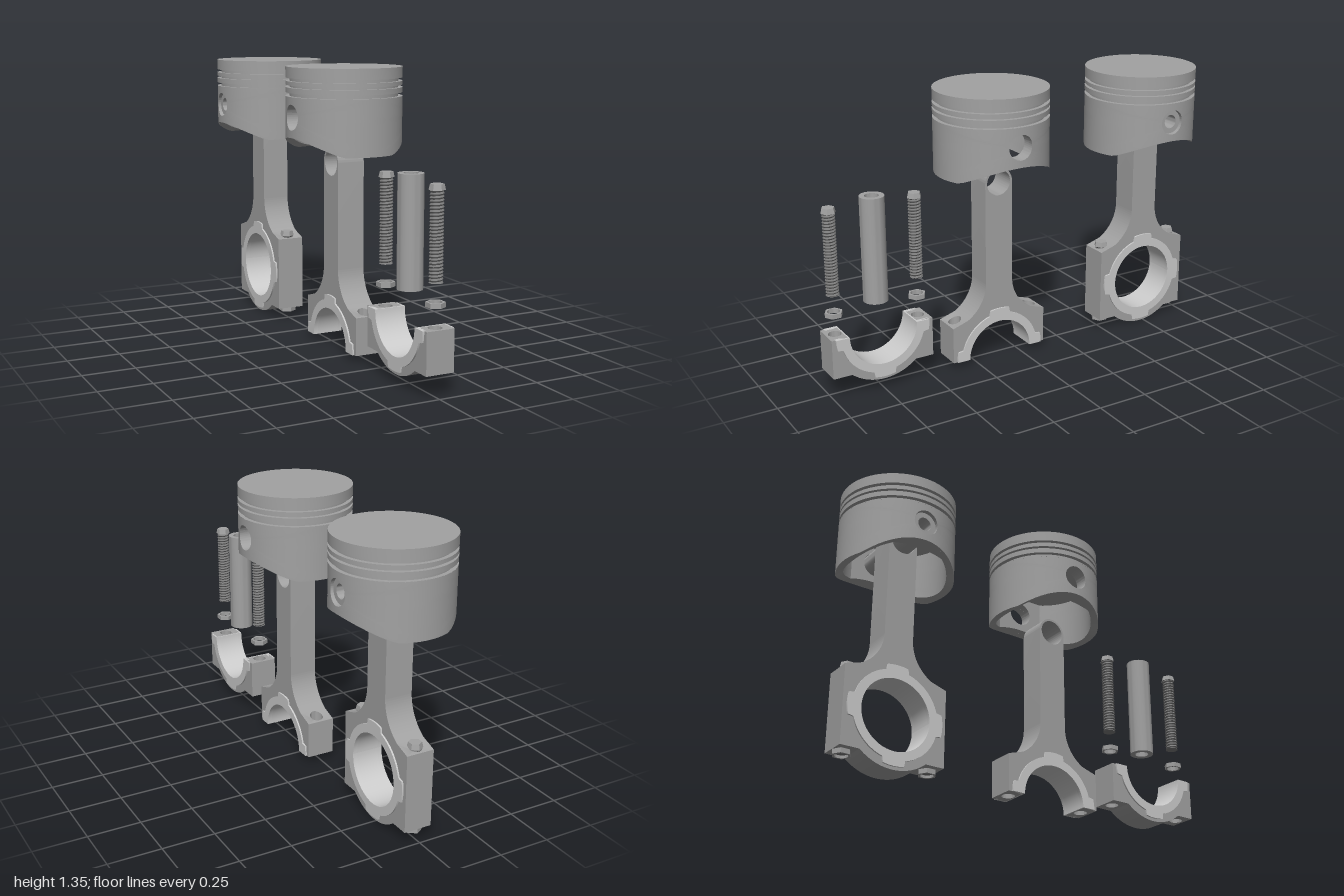
import * as THREE from 'three';
import { mergeGeometries, toCreasedNormals } from 'three/addons/utils/BufferGeometryUtils.js';

const steel = new THREE.MeshStandardMaterial({ color: 0xa2a2a2 });
const bright = new THREE.MeshStandardMaterial({ color: 0xcccccc });
const dark = new THREE.MeshStandardMaterial({ color: 0x7c7c7c });
const PIN_Y = 1.122, R = 0.273, R_IN = 0.237, HOLE = 0.06;    // piston
const BORE = 0.175, LUG = 0.254, BOLT_Z = 0.21, HALF = 0.068; // big end
const ROD = 0.872, BEAM = 0.0725;                             // rod length, beam half width
const FIL = { z: 0.2735, y: 0.38, r: 0.201 };                 // beam to shoulder fillet
const LUG_Y = -0.191;

function mesh(name, geo, parent, material = steel) {
  const m = new THREE.Mesh(toCreasedNormals(geo, 0.6), material);
  m.name = name;
  parent.add(m);
  return m;
}

function group(name, y, z, parent) {
  const g = new THREE.Group();
  g.name = name;
  g.position.set(0, y, z);
  parent.add(g);
  return g;
}

// Side profile (z, y) extruded symmetrically along x
function sideExtrude(shape, half) {
  const g = new THREE.ExtrudeGeometry(shape, { depth: 2 * half, bevelEnabled: false, curveSegments: 40 });
  return g.translate(0, 0, -half).rotateY(Math.PI / 2);
}

// Height of the arched skirt edge at depth z
const skirtEdge = z => Math.max(0.953, 0.597 + Math.sqrt(0.1858 - z * z));

// Half of the skirt wall: loops run from the pin hole to the panel edge, then back inside
function halfSkirt() {
  const top = 1.216, H = Math.PI / 2, n = 28, m = 8, rings = 12, edge = [];
  for (let i = 0; i < n; i++) edge.push([-H + (2 * H * i) / n, 0]);
  for (let i = 0; i < m; i++) edge.push([H, i / m]);
  for (let i = 0; i < n; i++) edge.push([H - (2 * H * i) / n, 1]);
  for (let i = 0; i < m; i++) edge.push([-H, 1 - i / m]);
  const pts = [], idx = [], N = edge.length;
  const addLoop = (rad, t) => edge.forEach(([a, v]) => {
    const yb = THREE.MathUtils.lerp(skirtEdge(rad * Math.sin(a)), top, v);
    const phi = Math.atan2(yb - PIN_Y, a * R);
    const th = THREE.MathUtils.lerp(Math.asin(HOLE * Math.cos(phi) / rad), a, t);
    const y = THREE.MathUtils.lerp(PIN_Y + HOLE * Math.sin(phi), yb, t);
    pts.push(new THREE.Vector3(rad * Math.cos(th), y, rad * Math.sin(th)));
  });
  for (let k = 0; k <= rings; k++) addLoop(R, k / rings);
  for (let k = rings; k >= 0; k--) addLoop(R_IN, k / rings);
  const M = 2 * (rings + 1);
  for (let k = 0; k < M; k++) for (let i = 0; i < N; i++) {
    const j = (i + 1) % N, l = (k + 1) % M;
    const a = k * N + i, b = k * N + j, c = l * N + j, d = l * N + i;
    // Split each cell along its shorter diagonal
    if (pts[a].distanceTo(pts[c]) < pts[b].distanceTo(pts[d])) idx.push(a, b, c, a, c, d);
    else idx.push(a, b, d, b, c, d);
  }
  return new THREE.BufferGeometry().setFromPoints(pts).setIndex(idx);
}

function addPiston(z, parent) {
  const g = group('piston', 0, z, parent);
  mesh('skirt', mergeGeometries([halfSkirt(), halfSkirt().rotateY(Math.PI)]), g);
  // Crown with three ring grooves
  const G = 0.253, pts = [[0, 1.211], [R, 1.211]];
  for (const [a, b] of [[1.215, 1.233], [1.257, 1.268], [1.286, 1.301]])
    pts.push([R, a], [G, a], [G, b], [R, b]);
  pts.push([R, 1.352], [0, 1.352]);
  mesh('crown', new THREE.LatheGeometry(pts.map(p => new THREE.Vector2(...p)), 80), g);
  // Flat pin bosses on the inside of the skirt
  const sh = new THREE.Shape(), w = 0.125;
  sh.moveTo(w, 1.213).lineTo(-w, 1.213);
  for (let i = 0; i <= 12; i++) sh.lineTo(w * (i / 6 - 1), skirtEdge(w * (i / 6 - 1)));
  sh.holes.push(new THREE.Path().absarc(0, PIN_Y, HOLE, 0, 2 * Math.PI, true));
  for (const s of [-1, 1])
    mesh('pinBoss', sideExtrude(sh, 0.02).translate(s * 0.22, 0, 0), g);
}

// Height of the sloping shoulder at distance z from the rod axis
const shoulder = z => FIL.y - Math.sqrt(FIL.r ** 2 - (FIL.z - z) ** 2);

// Bolt lugs at both sides, drilled from top to bottom
function addLugs(bottom, top, parent) {
  for (const s of [0, 1]) {
    const sh = new THREE.Shape();
    sh.moveTo(-HALF, BORE).lineTo(HALF, BORE).lineTo(HALF, LUG).lineTo(-HALF, LUG).closePath();
    sh.holes.push(new THREE.Path().absarc(0, BOLT_Z, 0.0315, 0, 2 * Math.PI, true));
    const geo = new THREE.ExtrudeGeometry(sh, { depth: 1, bevelEnabled: false, curveSegments: 24 });
    geo.rotateX(-Math.PI / 2);
    const p = geo.attributes.position;
    for (let i = 0; i < p.count; i++)
      p.setY(i, p.getY(i) > 0.5 ? top(Math.abs(p.getZ(i))) : bottom);
    mesh('boltLug', geo.rotateY(s * Math.PI), parent);
  }
}

// Half bearing shell: thin sleeve in the bore, and a tabbed flange on each face
function addShell(up, parent) {
  const tab = 0.235, ri = 0.169;
  const halfRing = arcs => {
    const sh = new THREE.Shape();
    const to = (r, a) => sh.lineTo(r * Math.cos(a), up * r * Math.sin(a));
    sh.moveTo(ri, 0);
    for (const [r, a, b] of arcs)
      for (let i = 0; i <= 16; i++) to(r, a + (b - a) * i / 16);
    for (let i = 0; i < 40; i++) to(ri, Math.PI * (1 - i / 40));
    return sh;
  };
  const flange = halfRing([[tab, 0, 0.22], [0.21, 0.27, 1.3], [tab, 1.35, 1.79], [0.21, 1.84, 2.87], [tab, 2.92, Math.PI]]);
  mesh('bearingSleeve', sideExtrude(halfRing([[0.176, 0, Math.PI / 2], [0.176, Math.PI / 2, Math.PI]]), 0.055), parent, bright);
  for (const s of [-1, 1])
    mesh('bearingFlange', sideExtrude(flange, 0.0105).translate(s * 0.0655, 0, 0), parent, bright);
}

function addRod(y, z, parent) {
  const g = group('connectingRod', y, z, parent);
  const ys = shoulder(BORE), a0 = Math.atan2(ys - FIL.y, BORE - FIL.z);
  const sh = new THREE.Shape();
  sh.moveTo(BORE, 0).lineTo(BORE, ys);
  sh.absarc(FIL.z, FIL.y, FIL.r, a0, -Math.PI, true);
  sh.lineTo(BEAM, ROD);
  sh.absarc(0, ROD, BEAM, 0, Math.PI, false);
  sh.lineTo(-BEAM, FIL.y);
  sh.absarc(-FIL.z, FIL.y, FIL.r, 0, -Math.PI - a0, true);
  sh.lineTo(-BORE, 0);
  sh.absarc(0, 0, BORE, Math.PI, 0, true);
  sh.holes.push(new THREE.Path().absarc(0, ROD, 0.062, 0, 2 * Math.PI, true));
  mesh('rodBeam', sideExtrude(sh, HALF), g);
  addLugs(0, shoulder, g);
  addShell(1, g);
}

function addCap(y, z, parent) {
  const g = group('bearingCap', y, z, parent);
  const a = Math.asin(LUG_Y / 0.25), sh = new THREE.Shape();
  sh.moveTo(-BORE, 0);
  sh.absarc(0, 0, BORE, Math.PI, 2 * Math.PI, false);
  sh.lineTo(BORE, LUG_Y);
  sh.absarc(0, 0, 0.25, a, -Math.PI - a, true);
  sh.lineTo(-BORE, LUG_Y);
  mesh('capArch', sideExtrude(sh, HALF), g);
  addLugs(LUG_Y, () => 0, g);
  addShell(-1, g);
}

// Hollow wrist pin, upright or turned across the piston
function addPin(y, z, parent, across) {
  const pts = [[0.033, -0.253], [0.058, -0.253], [0.058, 0.253], [0.033, 0.253], [0.033, -0.253]];
  const geo = new THREE.LatheGeometry(pts.map(p => new THREE.Vector2(...p)), 40);
  mesh('wristPin', across ? geo.rotateZ(Math.PI / 2) : geo, parent).position.set(0, y, z);
}

// Bolt with a helical V thread, origin under its head
function addBolt(y, z, parent) {
  const g = group('bolt', y, z, parent);
  mesh('boltHead', new THREE.CylinderGeometry(0.03, 0.036, 0.025, 6).translate(0, 0.0125, 0), g);
  const rows = 58, step = 0.0072;
  const geo = new THREE.CylinderGeometry(1, 1, 1, 20, rows, true);
  const p = geo.attributes.position, uv = geo.attributes.uv;
  for (let i = 0; i < p.count; i++) {
    const k = Math.round((1 - uv.getY(i)) * rows);
    const r = k === rows ? 0 : k % 2 ? 0.0262 : 0.0308;
    const h = THREE.MathUtils.clamp(step * (2 * uv.getX(i) - k), -0.39, 0);
    p.setXYZ(i, p.getX(i) * r, h, p.getZ(i) * r);
  }
  mesh('boltThread', geo, g, dark);
}

// Hexagonal nut, origin at its underside
function addNut(y, z, parent) {
  const sh = new THREE.Shape();
  for (let i = 0; i < 6; i++) {
    const a = Math.PI / 2 + i * Math.PI / 3, p = [0.043 * Math.cos(a), 0.043 * Math.sin(a)];
    i ? sh.lineTo(...p) : sh.moveTo(...p);
  }
  sh.holes.push(new THREE.Path().absarc(0, 0, 0.03, 0, 2 * Math.PI, true));
  const geo = new THREE.ExtrudeGeometry(sh, { depth: 0.022, bevelEnabled: false, curveSegments: 20 });
  mesh('nut', geo.rotateX(-Math.PI / 2), parent).position.set(0, y, z);
}

export function createModel() {
  const model = new THREE.Group();
  model.name = 'pistonAndRodSet';

  // Assembled unit at the back
  const zb = -0.727, yb = 0.25;
  const unit = group('assembledUnit', 0, zb, model);
  addPiston(0, unit);
  addRod(yb, 0, unit);
  addCap(yb, 0, unit);
  addPin(PIN_Y, 0, unit, true);

  // Separate parts at the front
  const zc = 0.746, parts = group('separateParts', 0, 0, model);
  addPiston(0.128, parts);
  addRod(0.031, 0.128, parts);
  addCap(0.299, zc, parts);
  addPin(0.674, zc, parts, false);

  for (const s of [-1, 1]) {
    addBolt(yb + 0.19, s * BOLT_Z, unit);
    addNut(yb + LUG_Y - 0.022, s * BOLT_Z, unit);
    addBolt(0.883, zc + s * BOLT_Z, parts);
    addNut(0.389, zc + s * BOLT_Z, parts);
  }
  return model;
}
